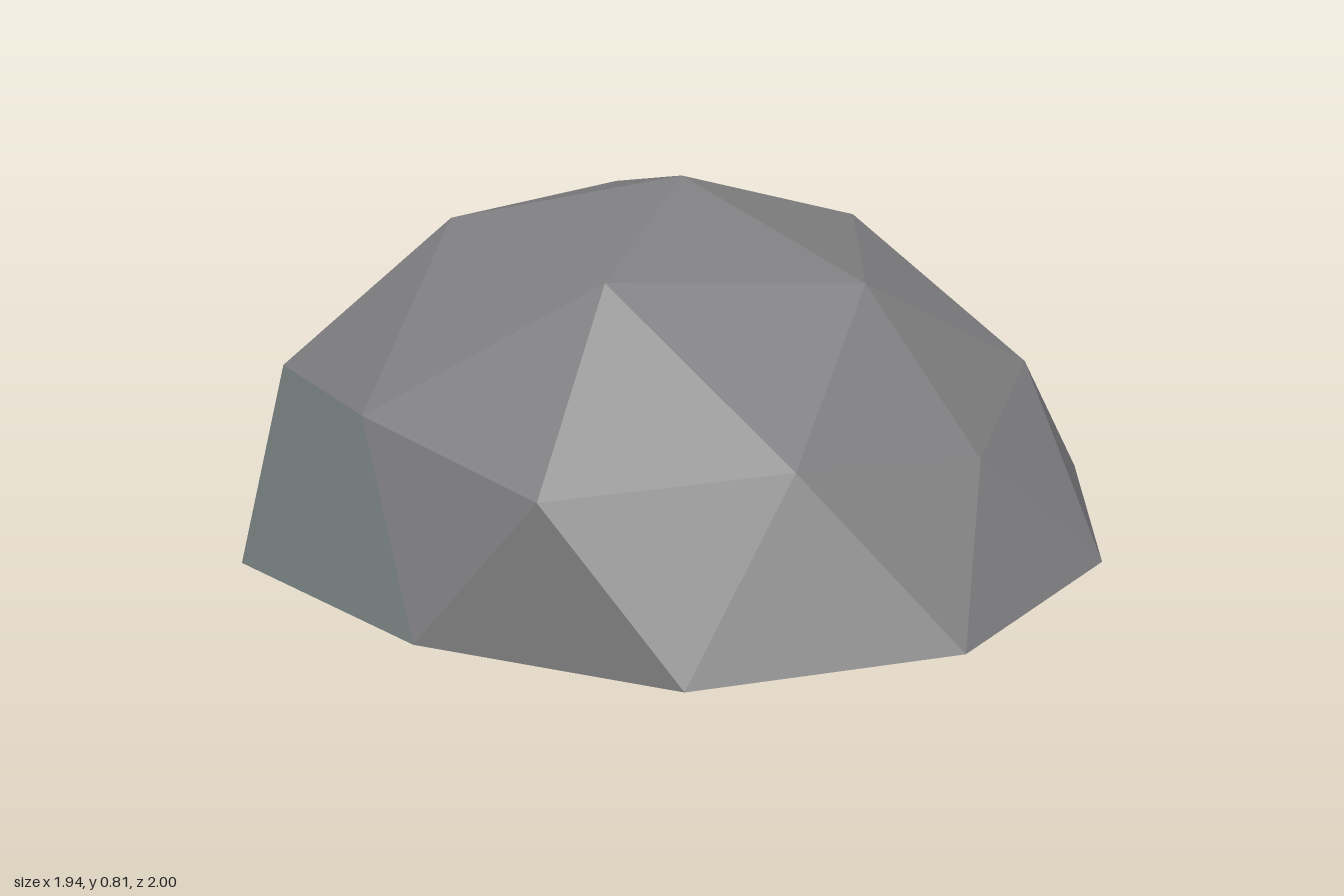
import * as THREE from 'three';

const stone = new THREE.MeshStandardMaterial({ color: 0x808082 });
stone.name = 'grey stone';
const paleStone = new THREE.MeshStandardMaterial({ color: 0x778080 });
paleStone.name = 'green grey stone';

// Rings of a faceted dome, each running from +x round towards +z
const apex = [0.01, 0.81, 0];
const upper = [[0.51, 0.64, 0], [0.17, 0.64, 0.46], [-0.42, 0.71, 0.32], [-0.41, 0.71, -0.31], [0.17, 0.67, -0.49]];
const middle = [
  [0.84, 0.31, 0], [0.65, 0.37, 0.46], [0.26, 0.30, 0.75], [-0.23, 0.37, 0.73], [-0.74, 0.36, 0.54],
  [-0.83, 0.41, 0], [-0.73, 0.36, -0.54], [-0.26, 0.43, -0.84], [0.30, 0.36, -0.89], [0.67, 0.39, -0.49],
];
const rim = [
  [0.97, 0, 0.31], [0.59, 0, 0.80], [0.01, 0, 1], [-0.57, 0, 0.81], [-0.89, 0, 0.29],
  [-0.97, 0, -0.32], [-0.58, 0, -0.82], [0.01, 0, -1], [0.65, 0, -0.87], [0.93, 0, -0.29],
];

// Unshared triangles give every facet its own flat normal
function facets(name, triangles, material) {
  const geometry = new THREE.BufferGeometry();
  geometry.setAttribute('position', new THREE.Float32BufferAttribute(triangles.flat(2), 3));
  geometry.computeVertexNormals();
  const mesh = new THREE.Mesh(geometry, material);
  mesh.name = name;
  return mesh;
}

export function createModel() {
  const plain = [], pale = [], base = [];
  const add = (a, b, c, isPale) => (isPale ? pale : plain).push([a, c, b]);

  // Cap and shoulder
  for (let i = 0; i < 5; i++) {
    const u = upper[i], next = upper[(i + 1) % 5];
    const before = middle[(2 * i + 9) % 10], below = middle[2 * i], after = middle[2 * i + 1];
    add(apex, u, next, i === 4);
    add(u, before, below);
    add(u, below, after);
    add(u, after, next);
  }

  // Lower wall and flat underside
  for (let k = 0; k < 10; k++) {
    const n = (k + 1) % 10;
    add(middle[k], rim[k], middle[n], k === 5 || k === 8);
    add(middle[n], rim[k], rim[n], k === 4);
    base.push([[0, 0, 0], rim[k], rim[n]]);
  }

  const group = new THREE.Group();
  group.name = 'boulder';
  group.add(
    facets('rockFacets', plain, stone),
    facets('tintedFacets', pale, paleStone),
    facets('underside', base, paleStone),
  );
  return group;
}
